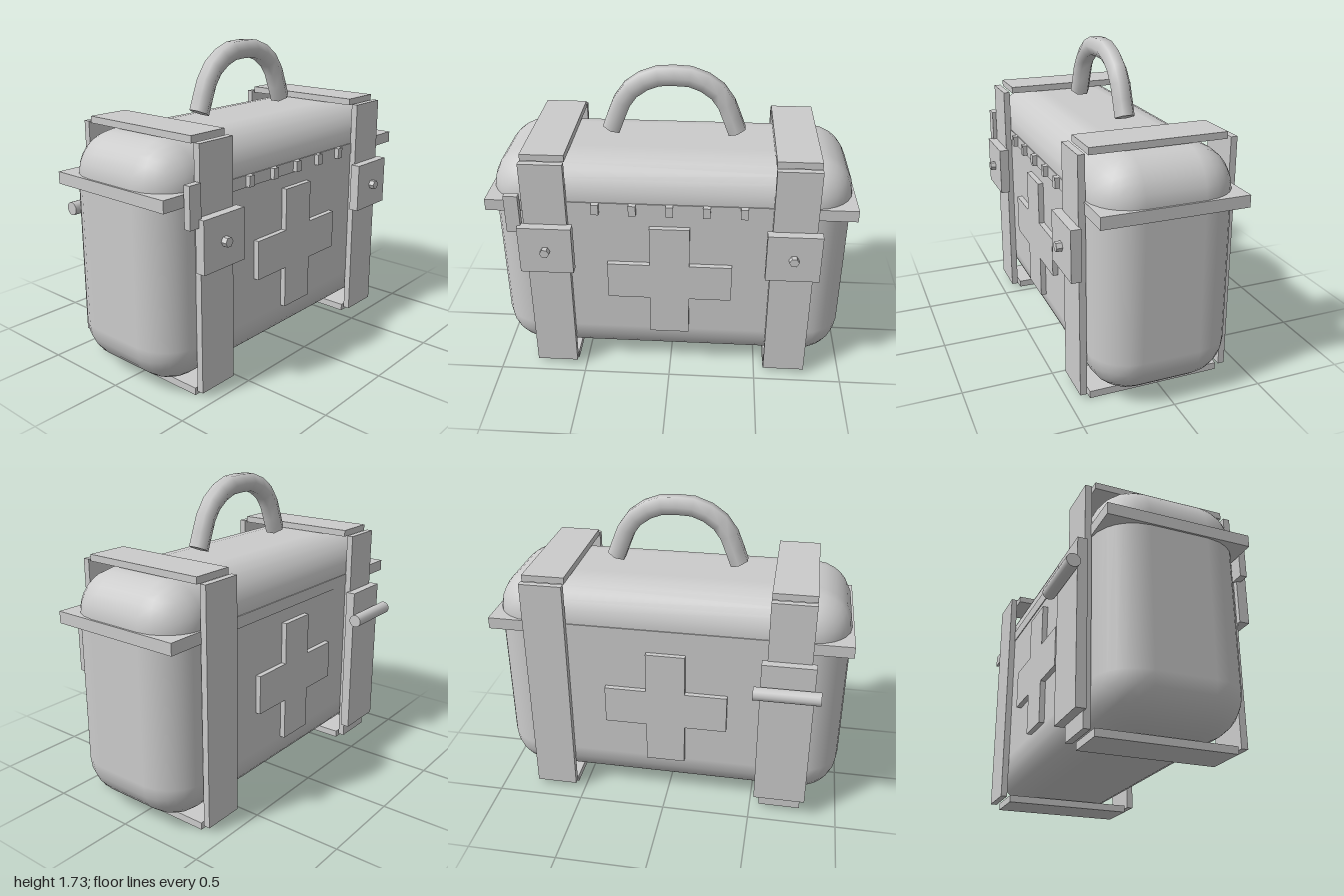
import * as THREE from 'three';
import { RoundedBoxGeometry } from 'three/addons/geometries/RoundedBoxGeometry.js';

export function createModel() {
  const model = new THREE.Group();
  const material = new THREE.MeshStandardMaterial({ color: 0xcccccc });
  const cx = 0.017; // centre line of the case

  const add = (name, geometry, x = 0, y = 0, z = 0) => {
    const mesh = new THREE.Mesh(geometry, material);
    mesh.name = name;
    mesh.position.set(x, y, z);
    model.add(mesh);
    return mesh;
  };
  // Box given by its extents on each axis
  const box = (name, [x0, x1], [y0, y1], [z0, z1]) =>
    add(name, new THREE.BoxGeometry(x1 - x0, y1 - y0, z1 - z0),
      (x0 + x1) / 2, (y0 + y1) / 2, (z0 + z1) / 2);

  // Rounded case with a flat rim where the lid meets the body
  add('caseBody', new RoundedBoxGeometry(0.775, 1.285, 1.98, 3, 0.23), cx, 0.6875, 0);
  box('lidRim', [-0.375, 0.409], [1.04, 1.105], [-1, 1]);

  // Straps around the case, each with a latch and hexagonal bolt
  for (const s of [1, -1]) {
    const z = s * 0.672;
    const span = [z - 0.118, z + 0.118];
    box('strapLeft', [0.403, 0.44], [0.03, 1.34], span);
    box('strapRight', [-0.408, -0.372], [0.03, 1.34], span);
    box('strapTop', [-0.353, 0.386], [1.333, 1.37], span);
    box('strapBottom', [-0.353, 0.386], [0, 0.04], span);
    box('latchPlate', [0.435, 0.49], [0.7, 0.98], [z - 0.147, z + 0.147]);
    const bolt = add('latchBolt', new THREE.CylinderGeometry(0.027, 0.027, 0.05, 6).toNonIndexed(), 0.497, 0.84, z);
    bolt.geometry.computeVertexNormals();
    bolt.geometry.rotateY(Math.PI / 2);
    bolt.rotation.z = -Math.PI / 2;
    bolt.geometry.rotateY(Math.PI / 2);
  }

  // Raised cross on both broad sides
  const a = 0.11, b = 0.346;
  const outline = [[a, a], [a, b], [-a, b], [-a, a], [-b, a], [-b, -a],
    [-a, -b], [a, -b], [a, -a], [b, -a], [b, a]];
  outline.splice(6, 0, [-a, -a]);
  const crossShape = new THREE.Shape(outline.map(([u, v]) => new THREE.Vector2(u, v)));
  for (const x of [0.403, -0.4]) {
    const cross = add('cross', new THREE.ExtrudeGeometry(crossShape, { depth: 0.032, bevelEnabled: false }), x, 0.622, 0);
    cross.rotation.y = Math.PI / 2;
  }

  // Row of studs along the rim
  for (let i = -2; i <= 2; i++) {
    box('rimStud', [0.4, 0.435], [1.045, 1.105], [i * 0.2 - 0.02, i * 0.2 + 0.02]);
  }

  // Small clip on the left, holder plate and roll on the right
  box('sideClip', [0.422, 0.46], [0.937, 1.157], [0.803, 0.88]);
  box('holderPlate', [-0.455, -0.402], [0.115, 1], [0.525, 0.815]);
  add('holderRoll', new THREE.CylinderGeometry(0.037, 0.037, 0.36, 16), -0.487, 0.842, 0.67)
    .rotation.x = Math.PI / 2;

  // Arched six-sided carrying handle with capped ends
  const path = new THREE.CatmullRomCurve3(
    [[0.35, 1.37], [0.257, 1.58], [0.12, 1.672], [0, 1.685], [-0.12, 1.672], [-0.257, 1.58], [-0.35, 1.37]]
      .map(([z, y]) => new THREE.Vector3(0, y, z)));
  const r = 0.0575;
  add('handle', new THREE.TubeGeometry(path, 12, r, 6), cx, 0, 0);
  for (const t of [0, 1]) {
    const end = path.getPointAt(t);
    const outward = path.getTangentAt(t).multiplyScalar(t ? 1 : -1);
    const cap = add('handleEnd', new THREE.CircleGeometry(r, 6), cx, end.y, end.z);
    cap.quaternion.setFromUnitVectors(new THREE.Vector3(0, 0, 1), outward);
  }
  return model;
}
